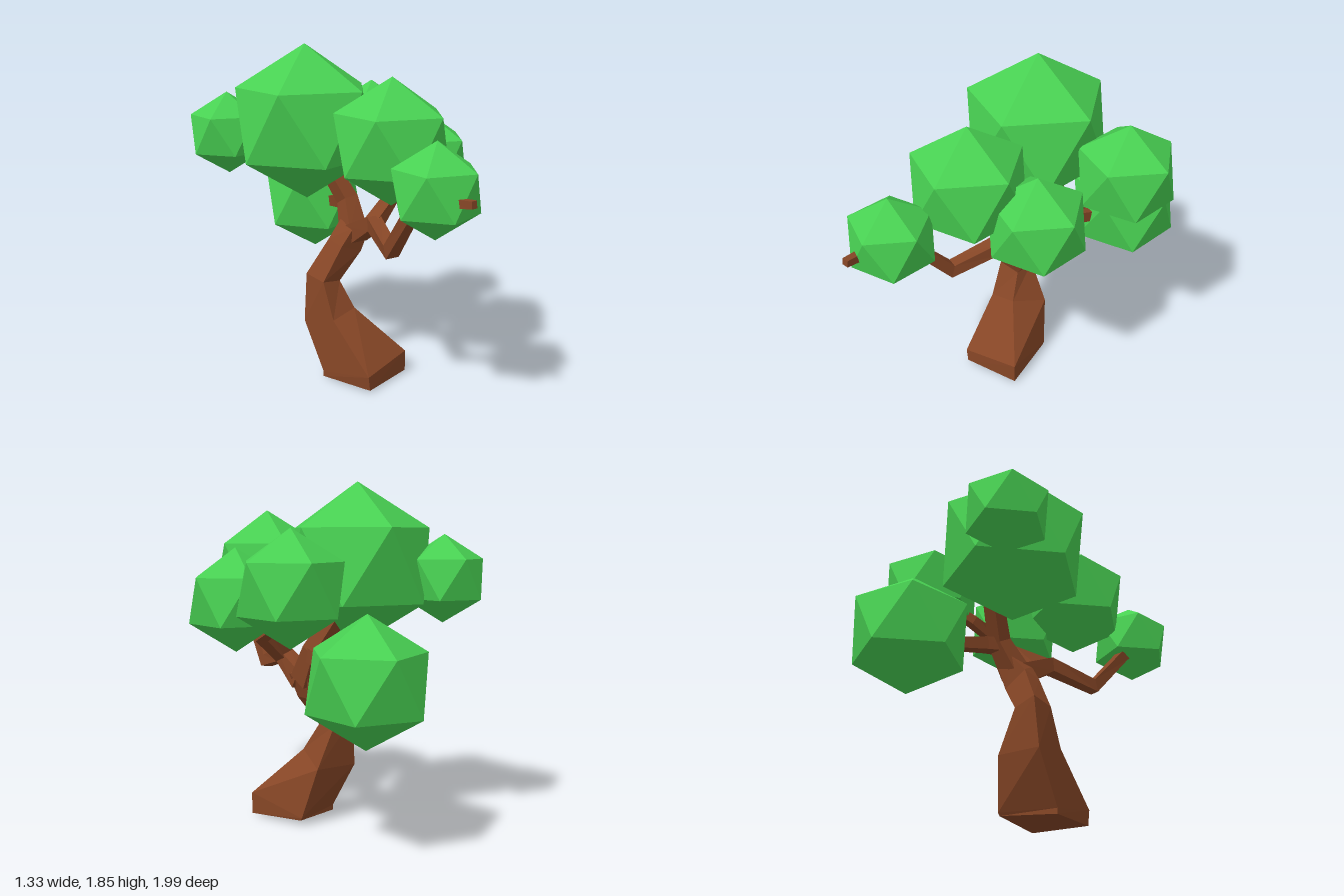
import * as THREE from 'three';

const V = (p) => new THREE.Vector3(...p);

// Skin a run of four-cornered rings and cap both ends
function loft(rings) {
  const pos = [];
  const tri = (a, b, c) => pos.push(...a.toArray(), ...b.toArray(), ...c.toArray());
  for (let r = 0; r < rings.length - 1; r++) {
    const lo = rings[r], hi = rings[r + 1];
    for (let i = 0; i < 4; i++) {
      const j = (i + 1) % 4;
      tri(lo[i], lo[j], hi[j]);
      tri(lo[i], hi[j], hi[i]);
    }
  }
  const s = rings[0], e = rings[rings.length - 1];
  tri(s[0], s[2], s[1]);
  tri(s[0], s[3], s[2]);
  tri(e[0], e[1], e[2]);
  tri(e[0], e[2], e[3]);
  const g = new THREE.BufferGeometry();
  g.setAttribute('position', new THREE.Float32BufferAttribute(pos, 3));
  g.computeVertexNormals();
  return g;
}

// Square limb along points [x, y, z, halfWidth]
function limb(points, ref) {
  const c = points.map((p) => V(p.slice(0, 3)));
  const rings = c.map((p, k) => {
    const t = new THREE.Vector3();
    if (k > 0) t.add(p.clone().sub(c[k - 1]).normalize());
    if (k < c.length - 1) t.add(c[k + 1].clone().sub(p).normalize());
    t.normalize();
    const u = ref.clone().addScaledVector(t, -ref.dot(t)).normalize();
    const v = t.clone().cross(u);
    const h = points[k][3];
    return [[-1, -1], [1, -1], [1, 1], [-1, 1]].map(([a, b]) =>
      p.clone().addScaledVector(u, a * h).addScaledVector(v, b * h));
  });
  return loft(rings);
}

export function createModel() {
  const tree = new THREE.Group();
  tree.name = 'tree';
  const bark = new THREE.MeshStandardMaterial({ color: 0x864626, flatShading: true });
  bark.name = 'bark brown';
  const leaf = new THREE.MeshStandardMaterial({ color: 0x48d052, flatShading: true });
  leaf.name = 'leaf green';

  const add = (name, geometry, material) => {
    const m = new THREE.Mesh(geometry, material);
    m.name = name;
    tree.add(m);
    return m;
  };

  // Leaning trunk: corners run front right, front left, back left, back right
  const trunkRings = [
    [[-0.13, 0.01, 0.27], [0.19, 0.01, 0.18], [0.10, 0.03, -0.14], [-0.22, 0, -0.05]],
    [[-0.14, 0.09, 0.27], [0.19, 0.13, 0.18], [0.10, 0.045, -0.15], [-0.22, 0.03, -0.05]],
    [[-0.19, 0.35, 0.01], [-0.03, 0.385, -0.01], [0.04, 0.32, -0.21], [-0.245, 0.3, -0.2]],
    [[-0.2, 0.555, -0.07], [-0.075, 0.535, -0.09], [-0.08, 0.545, -0.21], [-0.22, 0.575, -0.21]],
    [[-0.09, 0.75, -0.045], [0.045, 0.7, -0.05], [0.045, 0.7, -0.165], [-0.1, 0.77, -0.16]],
    [[-0.02, 0.85, -0.03], [0.09, 0.83, -0.03], [0.09, 0.84, -0.18], [-0.01, 0.87, -0.17]],
  ];
  add('trunk', loft(trunkRings.map((r) => r.map(V))), bark);

  // Branches
  const X = new THREE.Vector3(1, 0, 0), Y = new THREE.Vector3(0, 1, 0);
  add('frontBranch', limb([
    [0.03, 0.8, -0.08, 0.055], [0.0, 0.91, 0.13, 0.04], [-0.09, 0.835, 0.39, 0.036],
    [-0.14, 1.08, 0.6, 0.03], [-0.13, 1.19, 0.8, 0.025], [-0.11, 1.21, 1.0, 0.018],
  ], X), bark);
  add('leftBranch', limb([
    [0.0, 0.9, 0.12, 0.04], [0.22, 1.04, 0.04, 0.033], [0.265, 1.16, -0.22, 0.028],
    [0.36, 1.28, -0.4, 0.02],
  ], Y), bark);
  add('backBranch', limb([
    [0.03, 0.8, -0.1, 0.06], [0.06, 0.97, -0.2, 0.045], [0.0, 1.15, -0.3, 0.04],
    [-0.08, 1.25, -0.36, 0.03],
  ], X), bark);
  add('lowBackBranch', limb([
    [0.06, 0.95, -0.19, 0.04], [0.09, 0.94, -0.27, 0.036], [0.14, 0.9, -0.46, 0.03],
    [0.17, 0.88, -0.65, 0.022],
  ], X), bark);
  add('rightBackBranch', limb([
    [-0.08, 1.22, -0.35, 0.03], [-0.3, 1.28, -0.52, 0.024], [-0.44, 1.34, -0.62, 0.016],
  ], Y), bark);

  // Leaf clumps: upright icosahedra as [name, x, y, z, radius]
  const clumps = [
    ['crownLeaves', -0.15, 1.42, -0.3, 0.43],
    ['frontLeaves', -0.02, 1.38, 0.3, 0.332],
    ['frontTipLeaves', -0.1, 1.22, 0.735, 0.24],
    ['leftLeaves', 0.315, 1.23, 0.145, 0.28],
    ['leftBackLeaves', 0.4, 1.32, -0.42, 0.29],
    ['lowBackLeaves', 0.172, 0.88, -0.71, 0.33],
    ['rightBackLeaves', -0.46, 1.35, -0.63, 0.23],
  ];
  const upright = -Math.atan(2 / (1 + Math.sqrt(5)));
  for (const [name, x, y, z, r] of clumps) {
    const g = new THREE.IcosahedronGeometry(r, 0).rotateZ(upright);
    add(name, g, leaf).position.set(x, y, z);
  }
  return tree;
}
